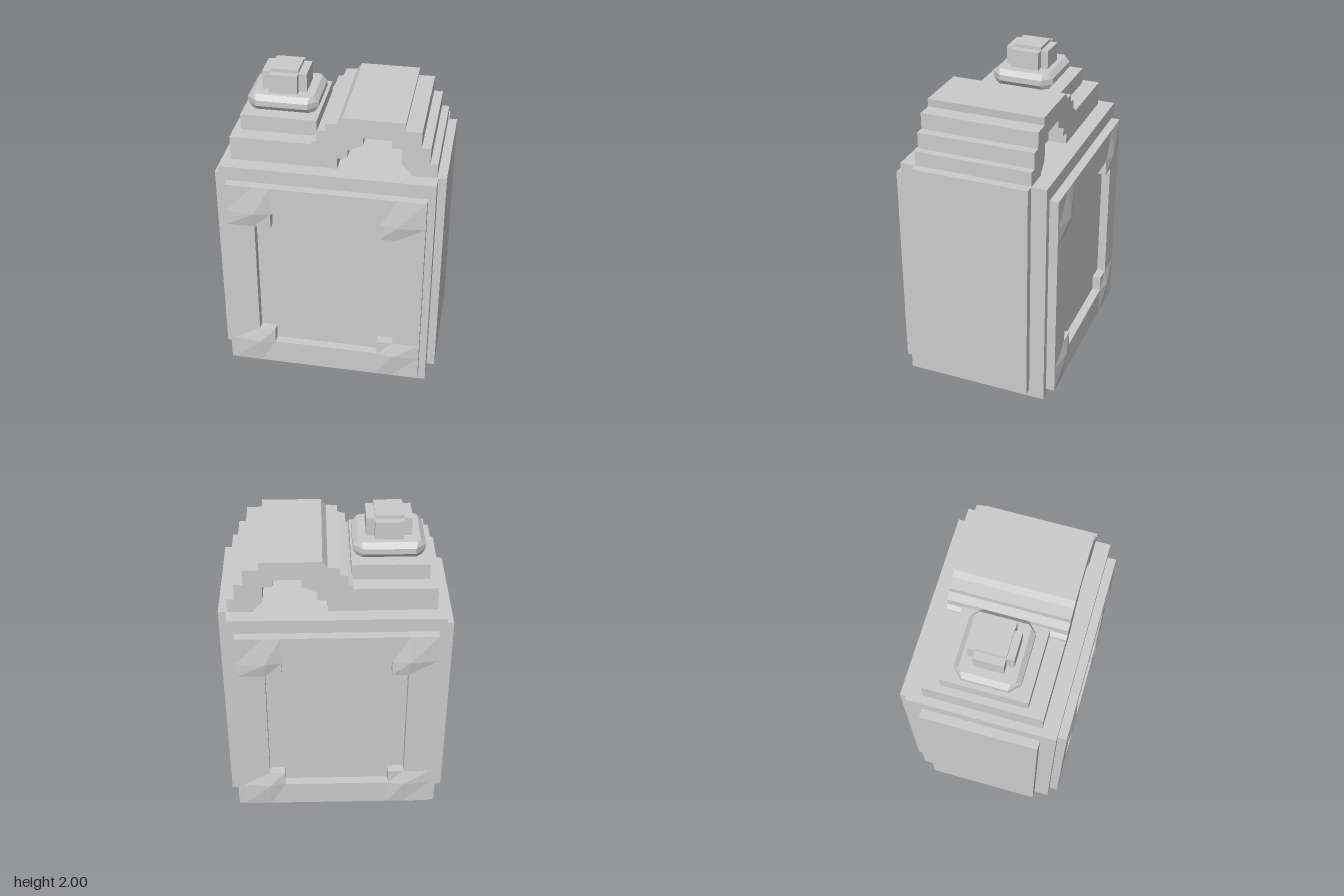
import * as THREE from 'three';

const mat = new THREE.MeshStandardMaterial({ color: 0xcccccc, flatShading: true });

function addMesh(parent, geo, name) {
  const m = new THREE.Mesh(geo, mat);
  m.name = name;
  parent.add(m);
  return m;
}

// box given by its minimum and maximum on each axis
function addBox(parent, name, x0, x1, y0, y1, z0, z1) {
  const m = addMesh(parent, new THREE.BoxGeometry(x1 - x0, y1 - y0, z1 - z0), name);
  m.position.set((x0 + x1) / 2, (y0 + y1) / 2, (z0 + z1) / 2);
  return m;
}

function facets(pos) {
  const g = new THREE.BufferGeometry();
  g.setAttribute('position', new THREE.Float32BufferAttribute(pos, 3));
  g.computeVertexNormals();
  return g;
}

// stacked chamfered rectangles: [y, half width, half depth, chamfer]
function loft(levels) {
  const rings = levels.map(([y, w, d, c]) => [
    [w, y, d - c], [w - c, y, d], [c - w, y, d], [-w, y, d - c],
    [-w, y, c - d], [c - w, y, -d], [w - c, y, -d], [w, y, c - d],
  ]);
  const pos = [];
  const tri = (...p) => p.forEach((v) => pos.push(...v));
  const last = rings.length - 1;
  for (let i = 0; i < 8; i++) {
    const j = (i + 1) % 8;
    for (let k = 0; k < last; k++) {
      const a = rings[k], b = rings[k + 1];
      tri(a[i], b[i], b[j]);
      tri(a[i], b[j], a[j]);
    }
    tri([0, levels[0][0], 0], rings[0][i], rings[0][j]);
    tri([0, levels[last][0], 0], rings[last][j], rings[last][i]);
  }
  return facets(pos);
}

// side plate with a cross-shaped opening and raised corner pads
function framePlate() {
  const xs = [-0.6, -0.43, -0.33, 0.33, 0.43, 0.6];
  const ys = [0.08, 0.25, 0.35, 1.15, 1.25, 1.43];
  const back = 0.43;
  const filled = (i, j) => {
    if (i < 0 || j < 0 || i > 4 || j > 4) return false;
    const inside = i > 0 && i < 4 && j > 0 && j < 4;
    return !(inside && (i === 2 || j === 2));
  };
  const pt = (i, j) => {
    const pad = (i === 1 || i === 4) && (j === 1 || j === 4);
    return [xs[i], ys[j], pad ? 0.53 : 0.51];
  };
  const pos = [];
  const quad = (a, b, c, d) => [a, b, c, a, c, d].forEach((p) => pos.push(...p));
  for (let i = 0; i < 5; i++) {
    for (let j = 0; j < 5; j++) {
      if (!filled(i, j)) continue;
      const c = [pt(i, j), pt(i + 1, j), pt(i + 1, j + 1), pt(i, j + 1)];
      quad(...c);
      // walls where the neighbouring cell is empty
      [[0, -1], [1, 0], [0, 1], [-1, 0]].forEach(([di, dj], k) => {
        if (filled(i + di, j + dj)) return;
        const a = c[k], b = c[(k + 1) % 4];
        quad(a, [a[0], a[1], back], [b[0], b[1], back], b);
      });
    }
  }
  return facets(pos);
}

export function createModel() {
  const model = new THREE.Group();
  model.name = 'canister';

  // stepped tank body
  const body = new THREE.Group();
  body.name = 'body';
  model.add(body);
  addBox(body, 'coreBlock', -0.645, 0.645, 0.03, 1.52, -0.455, 0.455);
  addBox(body, 'leftSidePanel', 0, 0.695, 0.08, 1.52, -0.36, 0.36);
  addBox(body, 'rightSidePanel', -0.7, 0, 0.08, 1.42, -0.36, 0.36);
  addMesh(body, loft([[0, 0.44, 0.35, 0.02], [0.03, 0.6, 0.455, 0.02]]), 'base');

  // recessed frames on the front and back
  const plate = framePlate();
  addMesh(body, plate, 'frontFrame');
  addMesh(body, plate, 'backFrame').rotation.y = Math.PI;

  // shoulder and spout
  const spout = new THREE.Group();
  spout.name = 'spout';
  model.add(spout);
  addBox(spout, 'shoulder', -0.595, -0.08, 1.5, 1.67, -0.36, 0.36);
  addBox(spout, 'neckBase', -0.55, -0.09, 1.65, 1.77, -0.26, 0.26);
  const collar = addMesh(spout, loft([
    [1.76, 0.185, 0.165, 0.02], [1.8, 0.215, 0.195, 0.06],
    [1.835, 0.215, 0.195, 0.06], [1.865, 0.185, 0.165, 0.02],
  ]), 'collar');
  collar.position.x = -0.315;

  // cross-shaped cap
  addBox(spout, 'capWide', -0.45, -0.18, 1.85, 1.98, -0.09, 0.09);
  addBox(spout, 'capDeep', -0.4, -0.23, 1.85, 1.98, -0.135, 0.135);
  addBox(spout, 'capTop', -0.4, -0.23, 1.9, 2, -0.09, 0.09);

  // stepped handle arch, open from front to back
  const profile = [
    [-0.1, 1.5], [0.05, 1.5], [0.05, 1.59], [0.11, 1.6], [0.11, 1.65],
    [0.2, 1.69], [0.2, 1.74], [0.37, 1.74], [0.37, 1.69], [0.43, 1.69],
    [0.43, 1.59], [0.49, 1.53], [0.49, 1.5], [0.64, 1.5], [0.64, 1.61],
    [0.595, 1.61], [0.595, 1.71], [0.54, 1.71], [0.54, 1.81], [0.44, 1.81],
    [0.445, 1.86], [0.08, 1.86], [0.05, 1.82], [-0.02, 1.815], [-0.02, 1.77],
    [-0.07, 1.76], [-0.07, 1.7], [-0.1, 1.69],
  ].map(([x, y]) => new THREE.Vector2(x, y));
  const handle = new THREE.ExtrudeGeometry(new THREE.Shape(profile), { depth: 0.722, bevelEnabled: false });
  handle.translate(0, 0, -0.361);
  addMesh(model, handle, 'handle');

  return model;
}
